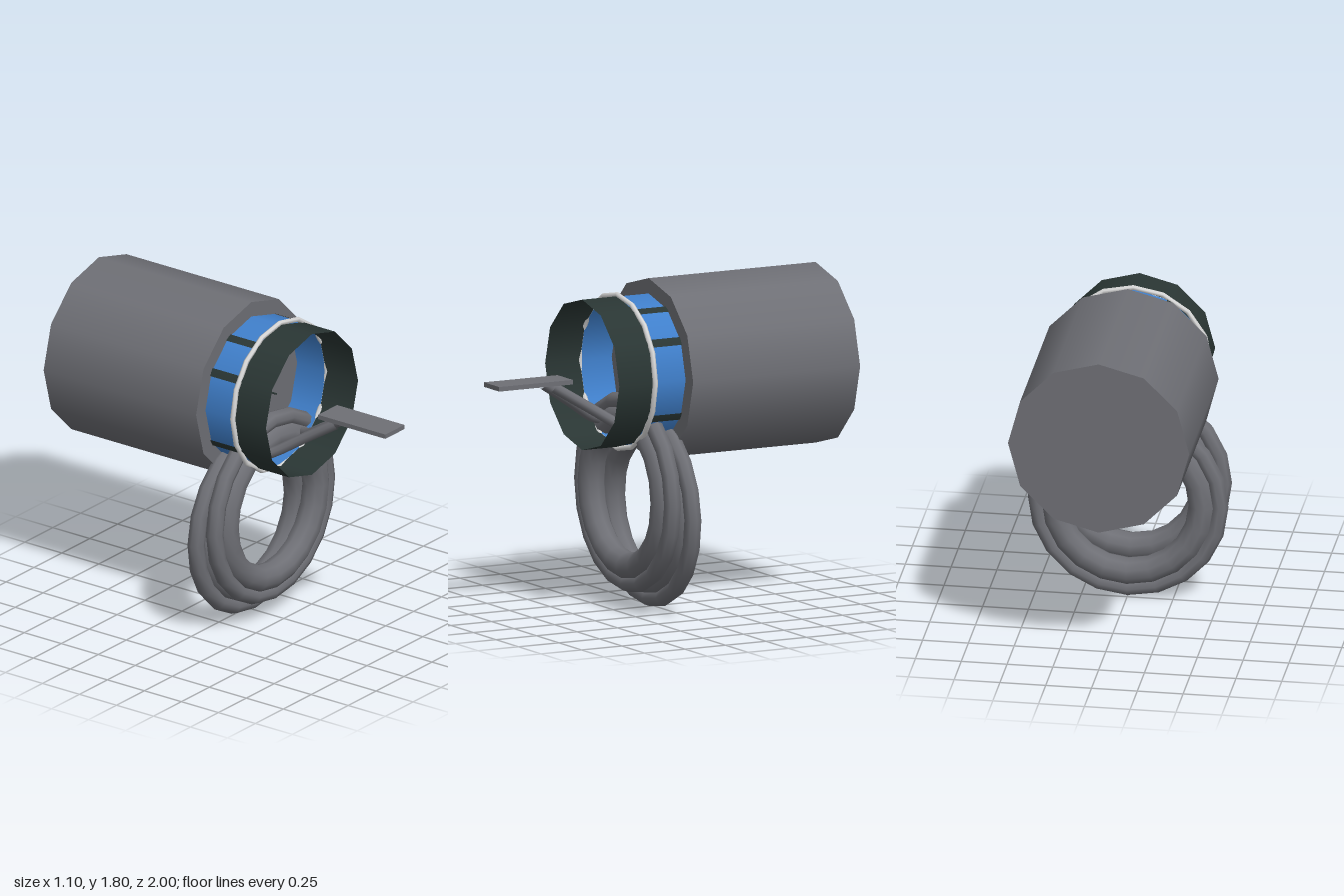
import * as THREE from 'three';

const AXIS_Y = 1.305; // height of the barrel axis

export function createModel() {
  const model = new THREE.Group();
  model.name = 'barrelWithCoil';

  const mat = (name, color, side = THREE.FrontSide) => {
    const m = new THREE.MeshStandardMaterial({ color, side });
    m.name = name;
    return m;
  };
  const grey = mat('metalGrey', 0x6e6f75);
  const dark = mat('darkCollar', 0x2a3634, THREE.DoubleSide);
  const blue = mat('blueBand', 0x4080cc, THREE.DoubleSide);
  const light = mat('lightRing', 0xd9d9d9);

  const add = (name, geometry, material, parent = model) => {
    const mesh = new THREE.Mesh(geometry, material);
    mesh.name = name;
    parent.add(mesh);
    return mesh;
  };

  // Cylinder lying along z, between two z positions
  const drum = (name, radius, z0, z1, material, open) => {
    const g = new THREE.CylinderGeometry(radius, radius, z1 - z0, 12, 1, open);
    g.rotateX(Math.PI / 2);
    g.translate(0, AXIS_Y, (z0 + z1) / 2);
    return add(name, g, material);
  };

  drum('body', 0.495, -1, 0.03, grey, false);
  drum('blueBand', 0.411, 0.03, 0.225, blue, true);
  drum('collar', 0.4125, 0.225, 0.44, dark, true);

  // Ring between band and collar
  const ring = add('sealRing', new THREE.TorusGeometry(0.421, 0.0145, 6, 16), light);
  ring.position.set(0, AXIS_Y, 0.222);

  // Dark stripes across the blue band, on its corners
  const stripeArc = 0.11;
  for (const deg of [30, 60, 120, 150, 210, 240, 300, 330]) {
    const g = new THREE.CylinderGeometry(0.414, 0.414, 0.175, 2, 1, true,
      THREE.MathUtils.degToRad(deg) - stripeArc / 2, stripeArc);
    g.rotateX(Math.PI / 2);
    g.translate(0, AXIS_Y, 0.1175);
    add('bandStripe', g, dark);
  }

  // Thin pin in the middle of the opening
  drum('centrePin', 0.005, 0.03, 0.2, dark, false);

  // Two coils, each a thick inner loop with a slimmer outer loop
  const coil = (name, y, z, tilt) => {
    const group = new THREE.Group();
    group.name = name;
    add('innerLoop', new THREE.TorusGeometry(0.405, 0.075, 10, 20), grey, group);
    add('outerLoop', new THREE.TorusGeometry(0.5, 0.048, 8, 20), grey, group);
    group.position.set(0, y, z);
    group.rotation.x = tilt;
    model.add(group);
  };
  coil('frontCoil', 0.64, 0.16, 0);
  coil('backCoil', 0.55, 0.035, 0.02);

  // Flat tongue in front
  const tongue = add('tongue', new THREE.BoxGeometry(0.17, 0.025, 0.455), grey);
  tongue.position.set(0, 1.2875, 0.7725);

  // Struts from the tongue back to the coil
  for (const s of [1, -1]) {
    const path = new THREE.CatmullRomCurve3([
      new THREE.Vector3(s * 0.06, 1.265, 0.65),
      new THREE.Vector3(s * 0.108, 1.14, 0.45),
      new THREE.Vector3(s * 0.17, 1.04, 0.29),
      new THREE.Vector3(s * 0.22, 1.01, 0.2),
    ]);
    add(s > 0 ? 'leftStrut' : 'rightStrut', new THREE.TubeGeometry(path, 10, 0.029, 8), grey);
  }

  return model;
}
